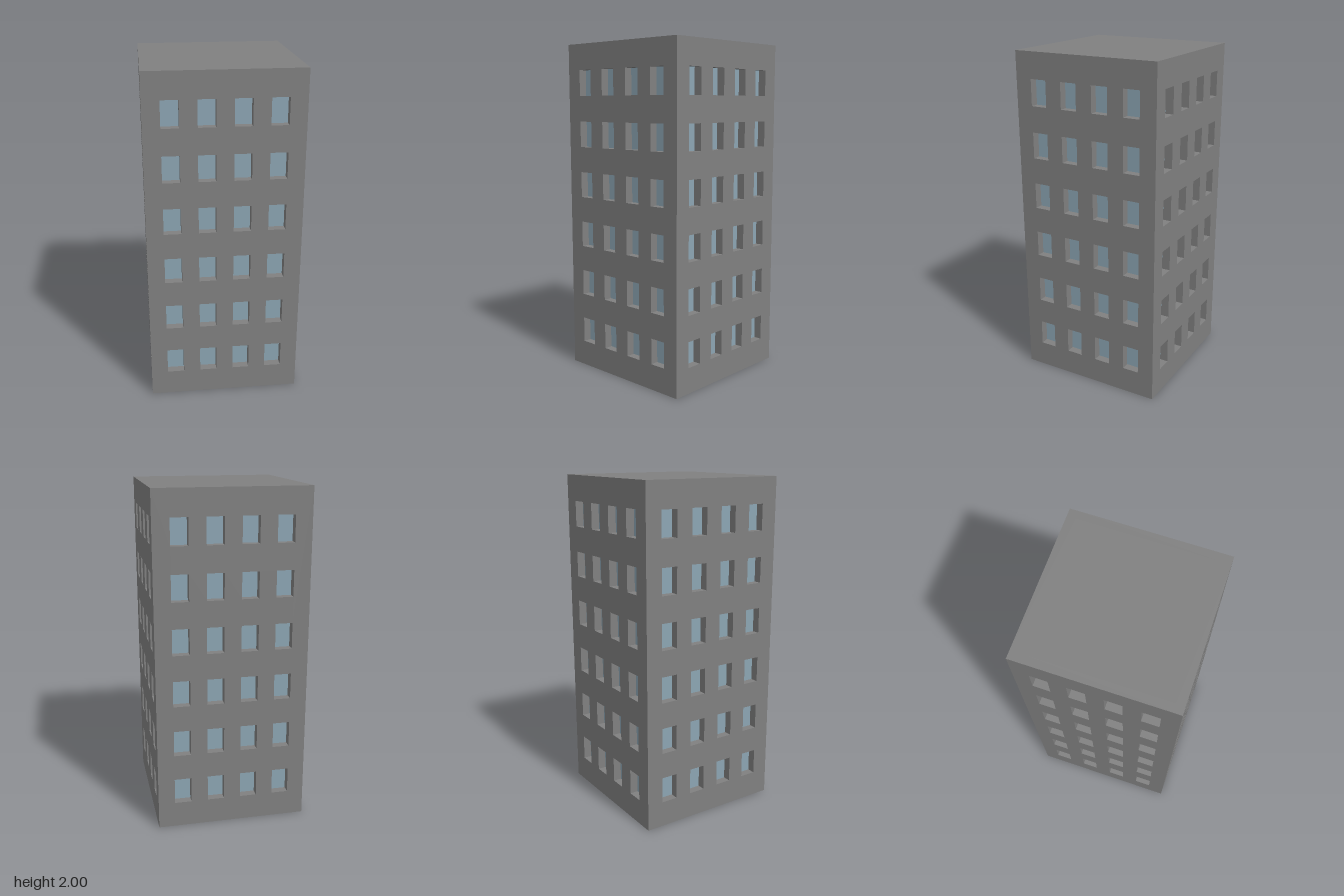
import * as THREE from 'three';

const HALF = 0.447, HEIGHT = 2, DEPTH = 0.05;
const FLOORS = 6, COLUMNS = 4;
const WIN_W = 0.1, WIN_H = 0.154, COL_STEP = 0.199, FLOOR_STEP = HEIGHT / 6.5;

function rectangle(Type, x0, y0, x1, y1) {
  return new Type([[x0, y0], [x1, y0], [x1, y1], [x0, y1]].map(([x, y]) => new THREE.Vector2(x, y)));
}

// Wall slab with window holes, its rim mitred so four walls meet at the corners
function wallGeometry(windows) {
  const shape = rectangle(THREE.Shape, -HALF, 0, HALF, HEIGHT);
  for (const [x, y] of windows) {
    shape.holes.push(rectangle(THREE.Path, x - WIN_W / 2, y, x + WIN_W / 2, y + WIN_H));
  }
  const geometry = new THREE.ExtrudeGeometry(shape, { depth: DEPTH, bevelEnabled: false });
  geometry.translate(0, 0, HALF - DEPTH);
  const p = geometry.attributes.position;
  for (let i = 0; i < p.count; i++) {
    if (p.getZ(i) < HALF - DEPTH / 2 && Math.abs(p.getX(i)) > HALF - 0.001) {
      p.setX(i, Math.sign(p.getX(i)) * (HALF - DEPTH));
    }
  }
  geometry.computeVertexNormals();
  return geometry;
}

export function createModel() {
  const model = new THREE.Group();
  model.name = 'apartmentTower';
  const concrete = new THREE.MeshStandardMaterial({ color: 0x808080 });
  const glass = new THREE.MeshStandardMaterial({ color: 0x8ca5b3 });

  const windows = [];
  for (let floor = 0; floor < FLOORS; floor++) {
    for (let col = 0; col < COLUMNS; col++) {
      windows.push([(col - (COLUMNS - 1) / 2) * COL_STEP, (floor + 0.5) * FLOOR_STEP]);
    }
  }

  const wallGeo = wallGeometry(windows);
  const paneGeo = new THREE.PlaneGeometry(WIN_W, WIN_H);

  // Four identical sides: a wall with recessed panes
  ['front', 'left', 'back', 'right'].forEach((side, i) => {
    const facade = new THREE.Group();
    facade.name = side + 'Facade';
    facade.rotation.y = i * Math.PI / 2;
    const wall = new THREE.Mesh(wallGeo, concrete);
    wall.name = side + 'Wall';
    facade.add(wall);
    for (const [x, y] of windows) {
      const pane = new THREE.Mesh(paneGeo, glass);
      pane.name = 'windowPane';
      pane.position.set(x, y + WIN_H / 2, HALF - DEPTH + 0.001);
      facade.add(pane);
    }
    model.add(facade);
  });

  // Flat roof and underside
  const capGeo = new THREE.PlaneGeometry(HALF * 2, HALF * 2);
  for (const [name, y, turn] of [['roof', HEIGHT, -1], ['base', 0, 1]]) {
    const cap = new THREE.Mesh(capGeo, concrete);
    cap.name = name;
    cap.position.y = y;
    cap.rotation.x = turn * Math.PI / 2;
    model.add(cap);
  }
  return model;
}
